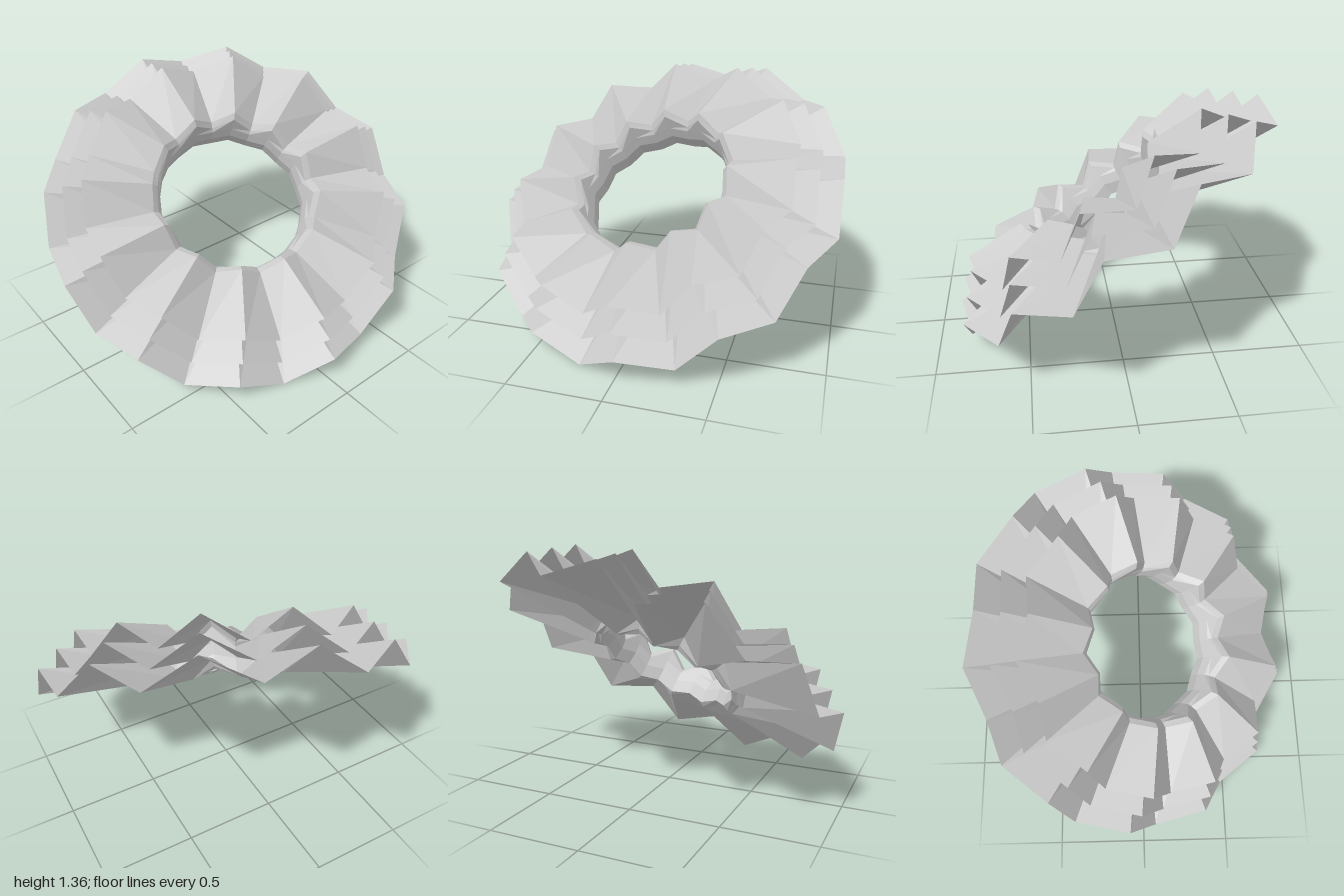
import * as THREE from 'three';

// Cross-sections: radius, height on a ridge, drop from ridge to valley
const PARTS = {
  lowerSheet: [[1.025, 0, 0.14], [0.49, -0.02, 0.1]],
  middleSheet: [[0.925, 0.095, 0.14], [0.465, 0.075, 0.1]],
  upperSheet: [[0.825, 0.185, 0.14], [0.46, 0.17, 0.1]],
  holeWall: [
    [0.46, 0.17, 0.1],
    [0.43, 0.14, 0.09],
    [0.415, 0.06, 0.03],
    [0.405, 0.0, 0.03],
    [0.415, -0.075, 0.03],
    [0.45, -0.06, 0.06],
    [0.49, -0.02, 0.1],
  ],
};
const COLUMNS = 24; // twelve pleats, a ridge and a valley each
const TURN = 0.014;

// Sweep a cross-section round the axis, dropping every other column
function pleated(profile) {
  const point = (i, j) => {
    const [r, h, drop] = profile[j];
    const a = (i / COLUMNS) * Math.PI * 2 + TURN;
    return [r * Math.sin(a), h - (i % 2 ? drop : 0), r * Math.cos(a)];
  };
  const pos = [];
  for (let i = 0; i < COLUMNS; i++) {
    for (let j = 0; j < profile.length - 1; j++) {
      const a = point(i, j), b = point(i + 1, j);
      const c = point(i + 1, j + 1), d = point(i, j + 1);
      pos.push(...a, ...b, ...c, ...a, ...c, ...d);
    }
  }
  const geo = new THREE.BufferGeometry();
  geo.setAttribute('position', new THREE.Float32BufferAttribute(pos, 3));
  return geo;
}

export function createModel() {
  const group = new THREE.Group();
  const mat = new THREE.MeshStandardMaterial({
    color: 0xcccccc, flatShading: true, side: THREE.DoubleSide,
  });

  // Lean the ring: its axis points up, forward and a little to -x
  const axis = new THREE.Vector3(-0.22, 0.8, 0.558).normalize();
  const front = new THREE.Vector3(0, -axis.z, axis.y).normalize();
  const side = new THREE.Vector3().crossVectors(axis, front);
  const lean = new THREE.Matrix4().makeBasis(side, axis, front);
  lean.setPosition(0, 0.727, 0.042);

  // Three stacked pleated sheets round a hole
  for (const [name, profile] of Object.entries(PARTS)) {
    const geo = pleated(profile).applyMatrix4(lean);
    geo.computeVertexNormals();
    const mesh = new THREE.Mesh(geo, mat);
    mesh.name = name;
    group.add(mesh);
  }
  return group;
}
